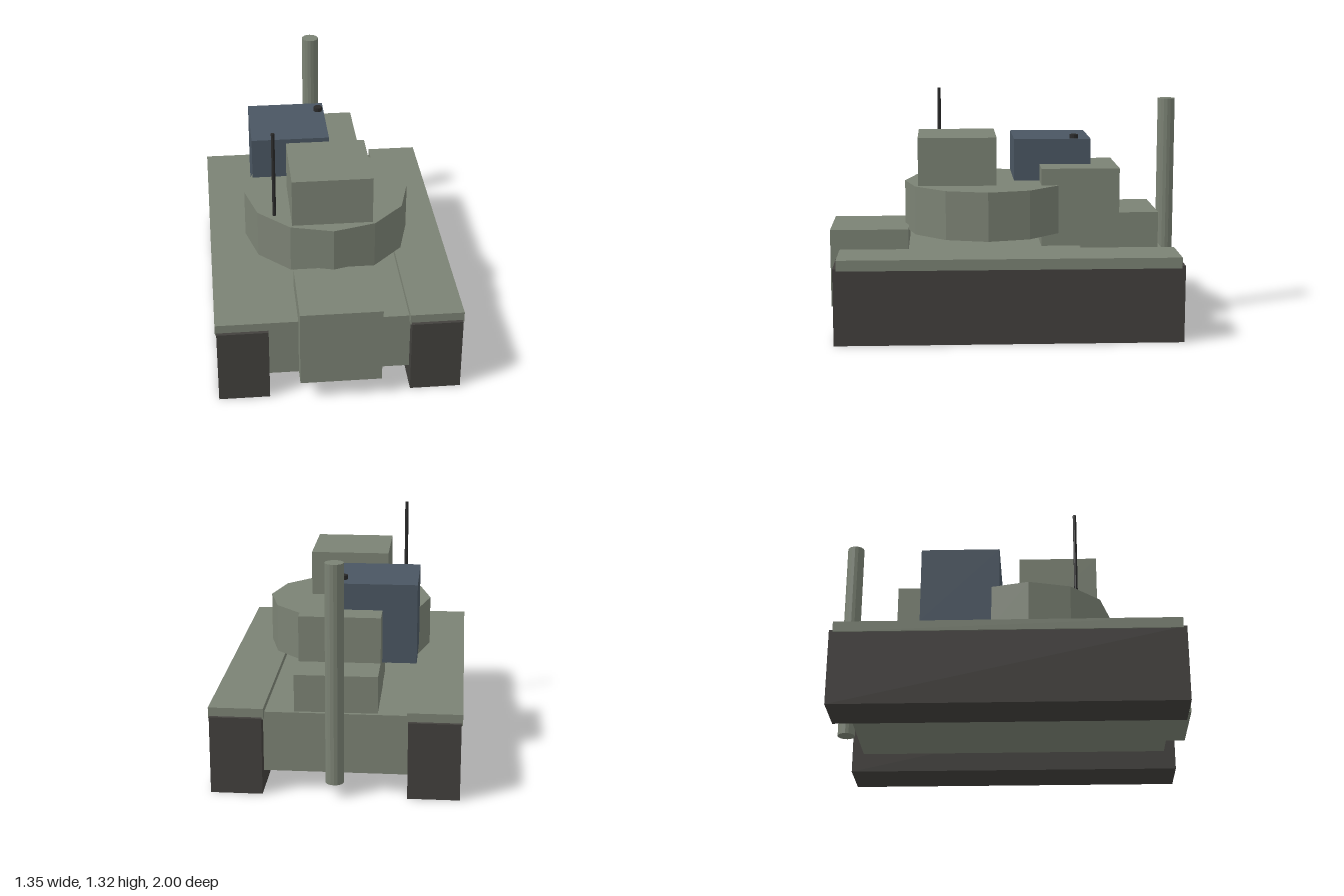
import * as THREE from 'three';

export function createModel() {
  const model = new THREE.Group();
  model.name = 'tank';

  const paint = (color) => new THREE.MeshStandardMaterial({ color, flatShading: true });
  const green = paint(0x7b8274);
  const blue = paint(0x4a5662);
  const trackDark = paint(0x42403d);
  const black = paint(0x2a2a2a);

  const add = (name, geometry, material, x, y, z) => {
    const mesh = new THREE.Mesh(geometry, material);
    mesh.name = name;
    mesh.position.set(x, y, z);
    model.add(mesh);
    return mesh;
  };
  // Box given by its centre x, width, and y and z ranges
  const box = (name, material, x, w, y0, y1, z0, z1) =>
    add(name, new THREE.BoxGeometry(w, y1 - y0, z1 - z0), material, x, (y0 + y1) / 2, (z0 + z1) / 2);
  // Upright cylinder given by its y range
  const post = (name, material, r, sides, x, y0, y1, z) =>
    add(name, new THREE.CylinderGeometry(r, r, y1 - y0, sides), material, x, (y0 + y1) / 2, z);

  // Hull
  box('hull', green, 0, 0.79, 0.11, 0.445, -0.9, 0.89);

  // Tracks with fenders on both sides
  for (const [side, s] of [['left', 1], ['right', -1]]) {
    box(side + 'Track', trackDark, s * 0.528, 0.28, 0, 0.43, -0.968, 0.956);
    box(side + 'Fender', green, s * 0.528, 0.294, 0.418, 0.478, -0.948, 0.936);
  }

  // Twelve-sided turret
  post('turret', green, 0.47, 12, 0, 0.533, 0.81, 0.105);

  // Equal cubes, each given by its top height and front z
  const cube = (name, material, x, top, front) =>
    box(name, material, x, 0.447, top - 0.447, top, front - 0.447, front);
  cube('noseBlock', green, 0, 0.56, 1.0);
  cube('turretBlock', green, 0, 1.085, 0.496);
  cube('engineBlock', green, 0, 0.905, -0.208);
  cube('rearBlock', green, 0, 0.65, -0.433);
  cube('cargoBox', blue, -0.19, 1.052, -0.06);

  // Knob on the cargo box, aerial and rear exhaust stack
  post('knob', black, 0.025, 12, 0, 1.04, 1.076, -0.411);
  post('aerial', black, 0.01, 8, -0.314, 0.8, 1.323, 0.374);
  post('exhaustStack', green, 0.05, 16, 0, 0.077, 1.286, -0.95);

  return model;
}
